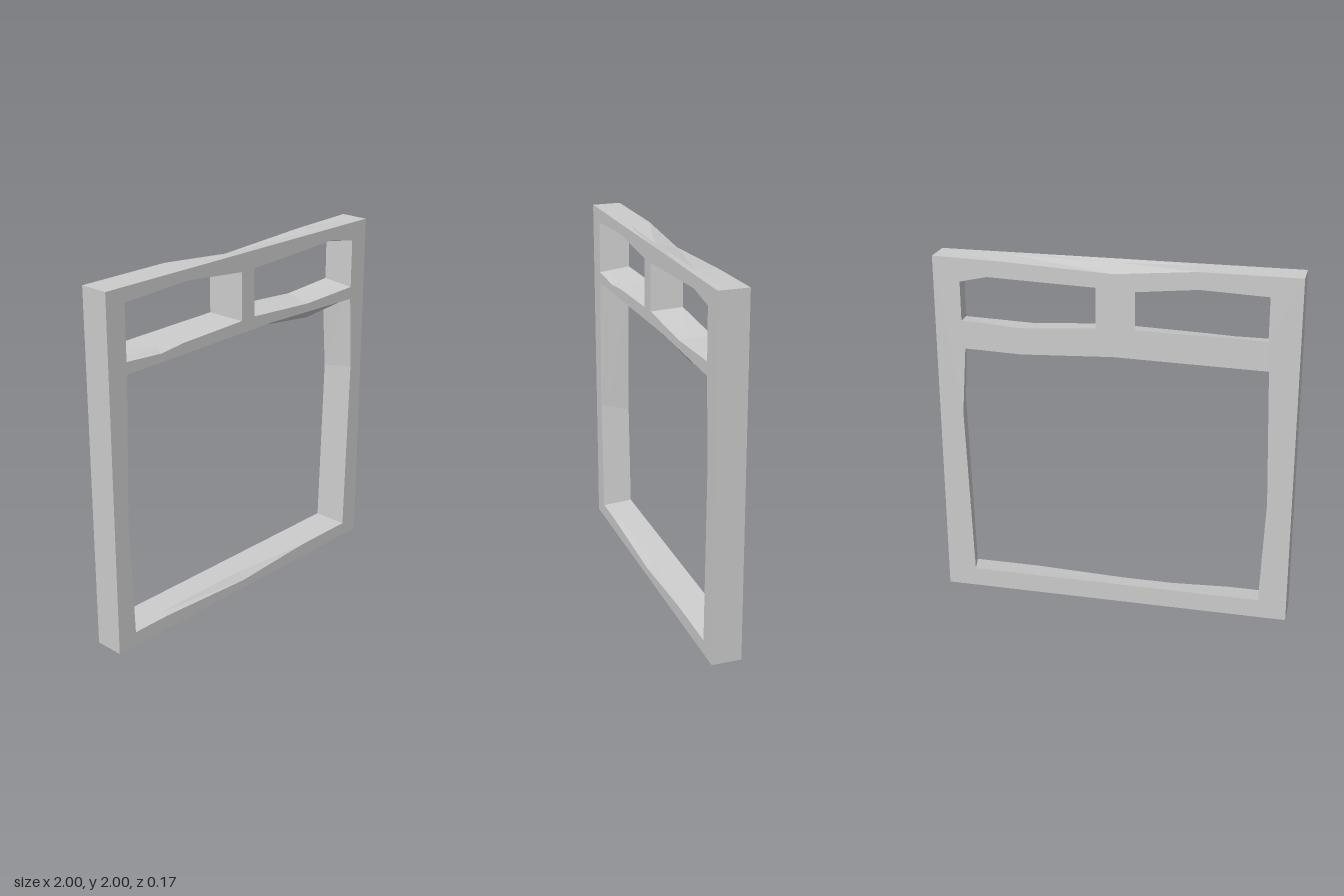
import * as THREE from 'three';

const D = 0.083; // half depth
const T = 0.25;  // depth fraction of the chipped ring behind the front edge

// Each point: front x, y, back x, y, optional height of the ring just behind the front edge.
const outer = [ // counter-clockwise
  [-1, 0, -1, 0], [1, 0, 1, 0], [1, 2, 1, 2],
  [0.6, 2, 0.6, 1.99], [0, 2, 0, 1.96], [-0.45, 2, -0.45, 2], [-1, 2, -1, 2],
];
const openings = { // clockwise
  mainOpening: [
    [-0.88, 0.08, -0.84, 0.11], [-0.905, 0.76, -0.865, 0.72], [-0.88, 1.55, -0.84, 1.485],
    [0.2, 1.565, 0, 1.5], [0.54, 1.555, 0.52, 1.475, 1.505], [0.88, 1.545, 0.835, 1.485],
    [0.905, 1.12, 0.865, 1.1], [0.88, 0.08, 0.835, 0.11],
    [0.5, 0.08, 0.5, 0.11], [-0.03, 0.05, -0.03, 0.11, 0.088], [-0.65, 0.08, -0.65, 0.11],
  ],
  upperRightOpening: [
    [-0.88, 1.617, -0.83, 1.65], [-0.88, 1.92, -0.83, 1.89], [-0.46, 1.94, -0.46, 1.905],
    [-0.05, 1.9, -0.12, 1.87], [-0.05, 1.63, -0.12, 1.66],
    [-0.49, 1.617, -0.49, 1.655], [-0.64, 1.6, -0.64, 1.653, 1.625],
  ],
  upperLeftOpening: [
    [0.05, 1.633, 0.095, 1.655], [0.05, 1.9, 0.095, 1.88], [0.695, 1.93, 0.695, 1.9],
    [0.88, 1.895, 0.85, 1.865], [0.88, 1.617, 0.85, 1.645], [0.49, 1.605, 0.52, 1.625],
  ],
};

// Flat face with the openings cut out
function face(back) {
  const k = back ? 2 : 0;
  const pts = (loop) => loop.map((p) => new THREE.Vector2(p[k], p[k + 1]));
  const shape = new THREE.Shape(pts(outer));
  for (const loop of Object.values(openings)) shape.holes.push(new THREE.Path(pts(loop)));
  const g = new THREE.ShapeGeometry(shape);
  if (back) g.index.array.reverse();
  g.translate(0, 0, back ? -D : D);
  g.computeVertexNormals();
  return g;
}

// Faceted wall joining the front outline to the back outline
function wall(loop) {
  const rings = [
    loop.map((p) => [p[0], p[1], D]),
    loop.map(([fx, fy, bx, by, my]) => [
      THREE.MathUtils.lerp(fx, bx, T), my ?? THREE.MathUtils.lerp(fy, by, T), D - 2 * D * T,
    ]),
    loop.map((p) => [p[2], p[3], -D]),
  ];
  const pos = [];
  for (let r = 0; r < 2; r++) {
    for (let i = 0; i < loop.length; i++) {
      const j = (i + 1) % loop.length;
      const [a, b, c, d] = [rings[r][i], rings[r + 1][i], rings[r + 1][j], rings[r][j]];
      pos.push(...a, ...b, ...c, ...a, ...c, ...d);
    }
  }
  const g = new THREE.BufferGeometry();
  g.setAttribute('position', new THREE.Float32BufferAttribute(pos, 3));
  g.computeVertexNormals();
  return g;
}

export function createModel() {
  const group = new THREE.Group();
  group.name = 'windowFrame';
  const material = new THREE.MeshStandardMaterial({ color: 0xcccccc, flatShading: true });
  const add = (name, geometry) => {
    const mesh = new THREE.Mesh(geometry, material);
    mesh.name = name;
    group.add(mesh);
  };
  add('frontFace', face(false));
  add('backFace', face(true));
  add('outerEdge', wall(outer));
  for (const [name, loop] of Object.entries(openings)) add(name, wall(loop));
  return group;
}
